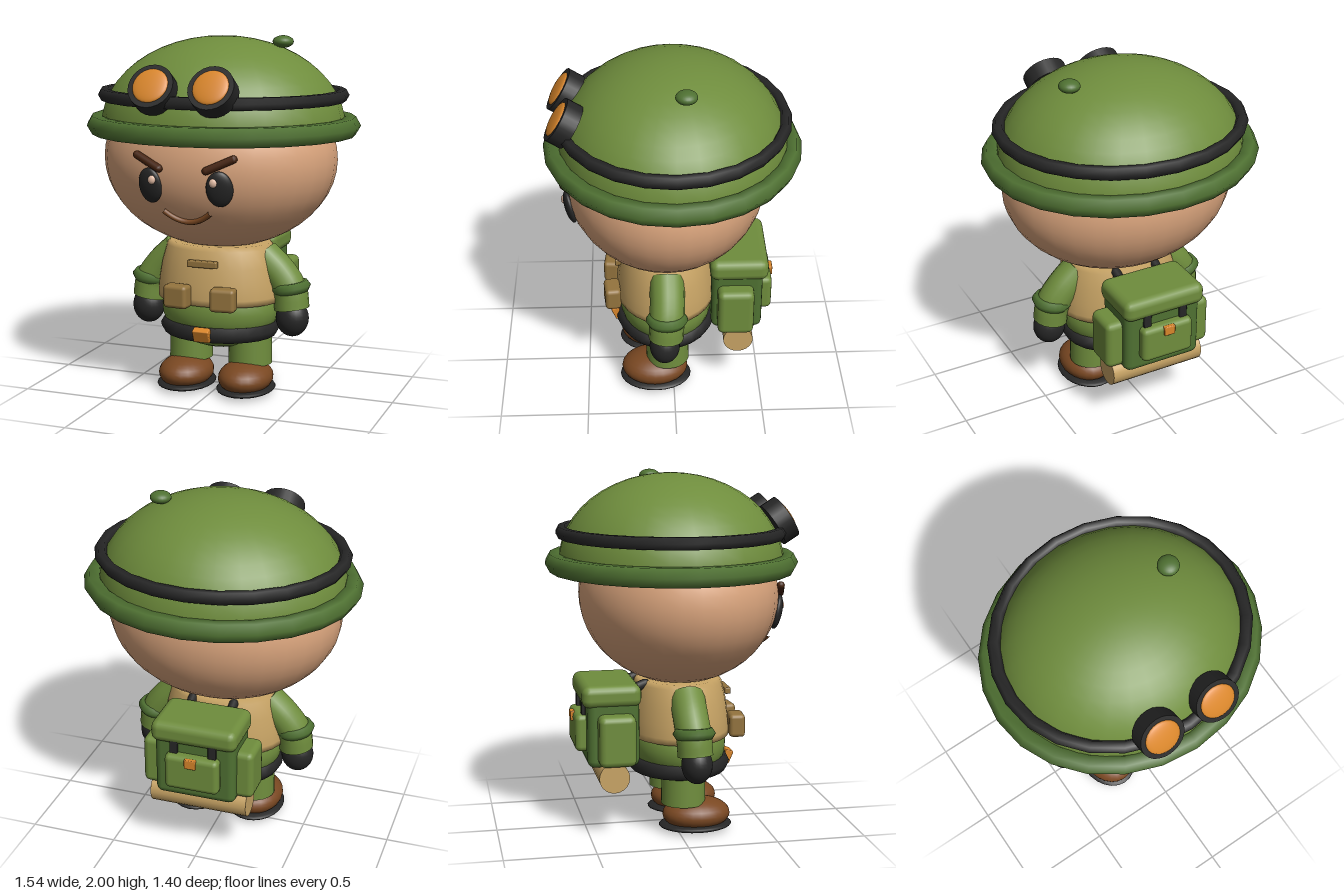
import * as THREE from 'three';
import { RoundedBoxGeometry } from 'three/addons/geometries/RoundedBoxGeometry.js';

const V = (x, y, z) => new THREE.Vector3(x, y, z);

function makeMaterials() {
  const colours = {
    green: 0x6f8d3d, darkGreen: 0x4f7132, tan: 0xc8a465, pouchTan: 0x94743e, skin: 0xdca67e,
    bootBrown: 0x7a4822, browBrown: 0x46230e, black: 0x262626, orange: 0xd9862b, eyeShine: 0xe8c0a8,
  };
  const mats = {};
  for (const [name, color] of Object.entries(colours)) {
    mats[name] = new THREE.MeshStandardMaterial({ color });
    mats[name].name = name;
  }
  return mats;
}

export function createModel() {
  const M = makeMaterials();
  const root = new THREE.Group();
  root.name = 'toyExplorer';

  function add(name, geo, mat, x = 0, y = 0, z = 0, rx = 0, ry = 0, rz = 0) {
    const m = new THREE.Mesh(geo, mat);
    m.name = name;
    m.position.set(x, y, z);
    m.rotation.set(rx, ry, rz);
    root.add(m);
    return m;
  }
  const ball = (rx, ry, rz, w = 24, h = 16) => new THREE.SphereGeometry(1, w, h).scale(rx, ry, rz);
  const box = (w, h, d, r = 0.02) => new RoundedBoxGeometry(w, h, d, 2, r);
  // Flat-lying ring with a six-sided section and an oval outline
  const ring = (r, tube, zScale = 1) =>
    new THREE.TorusGeometry(r, tube, 6, 24).rotateX(Math.PI / 2).scale(1, 1, zScale);
  // Round-ended rod between two points
  function rod(name, a, b, r, mat) {
    const d = b.clone().sub(a);
    const m = add(name, new THREE.CapsuleGeometry(r, d.length(), 4, 10), mat);
    m.position.copy(a).add(b).multiplyScalar(0.5);
    m.quaternion.setFromUnitVectors(V(0, 1, 0), d.normalize());
  }
  // Front surface of the head at a given x and y
  const faceZ = (x, y) =>
    0.04 + 0.555 * Math.sqrt(Math.max(0, 1 - (x / 0.66) ** 2 - ((y - 1.33) / 0.5) ** 2));

  // Head and mouth
  add('head', ball(0.66, 0.5, 0.555, 32, 24), M.skin, 0, 1.33, 0.04);
  const smile = [];
  for (let i = -4; i <= 4; i++) {
    const x = i * 0.033, y = 1.04 + 0.058 * (i / 4) ** 2;
    smile.push(V(x, y, faceZ(x, y) + 0.012));
  }
  add('mouth', new THREE.TubeGeometry(new THREE.CatmullRomCurve3(smile), 20, 0.015, 8), M.bootBrown);

  // Helmet
  const dome = new THREE.SphereGeometry(1, 28, 12, 0, Math.PI * 2, 0, Math.PI / 2).scale(0.685, 0.495, 0.625);
  add('helmetDome', dome, M.green, 0, 1.503, 0);
  add('helmetUnderside', new THREE.CircleGeometry(1, 28).rotateX(Math.PI / 2).scale(0.69, 1, 0.63),
    M.darkGreen, 0, 1.5, 0);
  add('helmetBrim', ring(0.713, 0.058, 0.91), M.darkGreen, 0, 1.51, 0);
  add('helmetKnob', ball(0.058, 0.034, 0.058), M.darkGreen, 0.33, 1.967, -0.06);
  add('goggleStrap', ring(0.668, 0.037, 0.91), M.black, 0, 1.677, 0);

  // Torso: jacket, trousers seat, belt
  const jacket = [[0.36, 0.535], [0.362, 0.57], [0.355, 0.64], [0.338, 0.74], [0.31, 0.835], [0.29, 0.86], [0, 0.87]]
    .map(([r, y]) => new THREE.Vector2(r, y));
  jacket.unshift(new THREE.Vector2(0.3, 0.53));
  add('jacket', new THREE.LatheGeometry(jacket, 28).scale(1, 1, 0.79), M.tan, 0, 0, 0.04);
  add('hips', ball(0.34, 0.235, 0.268, 28, 18), M.green, 0, 0.48, 0.04);
  add('belt', ring(0.3, 0.047, 0.84), M.black, 0, 0.37, 0.04);
  add('beltBuckle', box(0.095, 0.075, 0.045, 0.006), M.orange, 0, 0.376, 0.325, 0.4);
  add('chestTab', box(0.175, 0.038, 0.035, 0.008), M.pouchTan, 0, 0.772, 0.313);

  // Sleeve path, drawn for the left arm and mirrored
  const sleevePath = (s) => new THREE.CatmullRomCurve3(
    [V(0.25 * s, 0.79, 0.04), V(0.355 * s, 0.69, 0.04), V(0.415 * s, 0.6, 0.045), V(0.43 * s, 0.5, 0.05)]);

  for (const s of [-1, 1]) {
    const side = s > 0 ? 'left' : 'right';

    // Eyes and brows
    add(side + 'Eye', ball(0.072, 0.097, 0.03), M.black, 0.195 * s, 1.235, 0.56, 0.2, 0.22 * s);
    add(side + 'EyeShine', ball(0.022, 0.024, 0.014, 12, 8), M.eyeShine, 0.172 * s, 1.27, 0.594);
    rod(side + 'Brow', V(0.27 * s, 1.394, 0.56), V(0.133 * s, 1.332, 0.595), 0.022, M.browBrown);

    // Goggles
    add(side + 'GoggleCup', new THREE.CylinderGeometry(0.125, 0.125, 0.092, 24), M.black,
      0.167 * s, 1.737, 0.574, 1.0);
    add(side + 'GoggleLens', ball(0.098, 0.02, 0.098), M.orange, 0.167 * s, 1.763, 0.613, 1.0);

    // Pouches
    add(side + 'Pouch', box(0.142, 0.13, 0.09, 0.022), M.pouchTan, 0.135 * s, 0.592, 0.348, 0, 0.1 * s);

    // Arms with flat end caps
    const path = sleevePath(s);
    add(side + 'Sleeve', new THREE.TubeGeometry(path, 14, 0.098, 16), M.green);
    for (const [t, dir] of [[0, -1], [1, 1]]) {
      const cap = add(side + 'SleeveEnd', new THREE.CircleGeometry(0.098, 16), M.green);
      cap.position.copy(path.getPoint(t));
      cap.quaternion.setFromUnitVectors(V(0, 0, 1), path.getTangent(t).multiplyScalar(dir));
    }
    add(side + 'Cuff', ring(0.078, 0.034, 1.05), M.darkGreen, 0.42 * s, 0.622, 0.045, 0, 0, 0.15 * s);
    add(side + 'Glove', ball(0.093, 0.105, 0.085), M.black, 0.435 * s, 0.45, 0.058);

    // Legs and boots
    add(side + 'Leg', new THREE.CylinderGeometry(0.12, 0.125, 0.23, 24), M.green, 0.18 * s, 0.28, 0.035);
    add(side + 'Boot', ball(0.152, 0.093, 0.192), M.bootBrown, 0.18 * s, 0.098, 0.11);
    add(side + 'Sole', ball(0.162, 0.029, 0.207), M.black, 0.18 * s, 0.036, 0.105);

    // Backpack straps and side pockets
    rod(side + 'ShoulderStrap', V(0.12 * s, 0.842, -0.17), V(0.12 * s, 0.82, -0.23), 0.027, M.black);
    add(side + 'FlapStrap', box(0.045, 0.14, 0.022, 0.006), M.black, 0.11 * s, 0.735, -0.517);
    add(side + 'PackPocket', box(0.13, 0.285, 0.205, 0.035), M.green, 0.255 * s, 0.56, -0.35);
  }

  // Backpack body, flap, rear pocket and bedroll
  add('packBody', box(0.46, 0.42, 0.29, 0.04), M.darkGreen, 0, 0.605, -0.36);
  add('packFlap', box(0.49, 0.125, 0.33, 0.045), M.green, 0, 0.797, -0.37);
  add('packRearPocket', box(0.31, 0.21, 0.08, 0.03), M.green, 0, 0.58, -0.525);
  add('packBuckle', box(0.065, 0.055, 0.025, 0.005), M.orange, 0, 0.655, -0.565);
  add('bedroll', new THREE.CylinderGeometry(0.085, 0.085, 0.56, 20).rotateZ(Math.PI / 2), M.tan, 0, 0.352, -0.368);

  return root;
}
